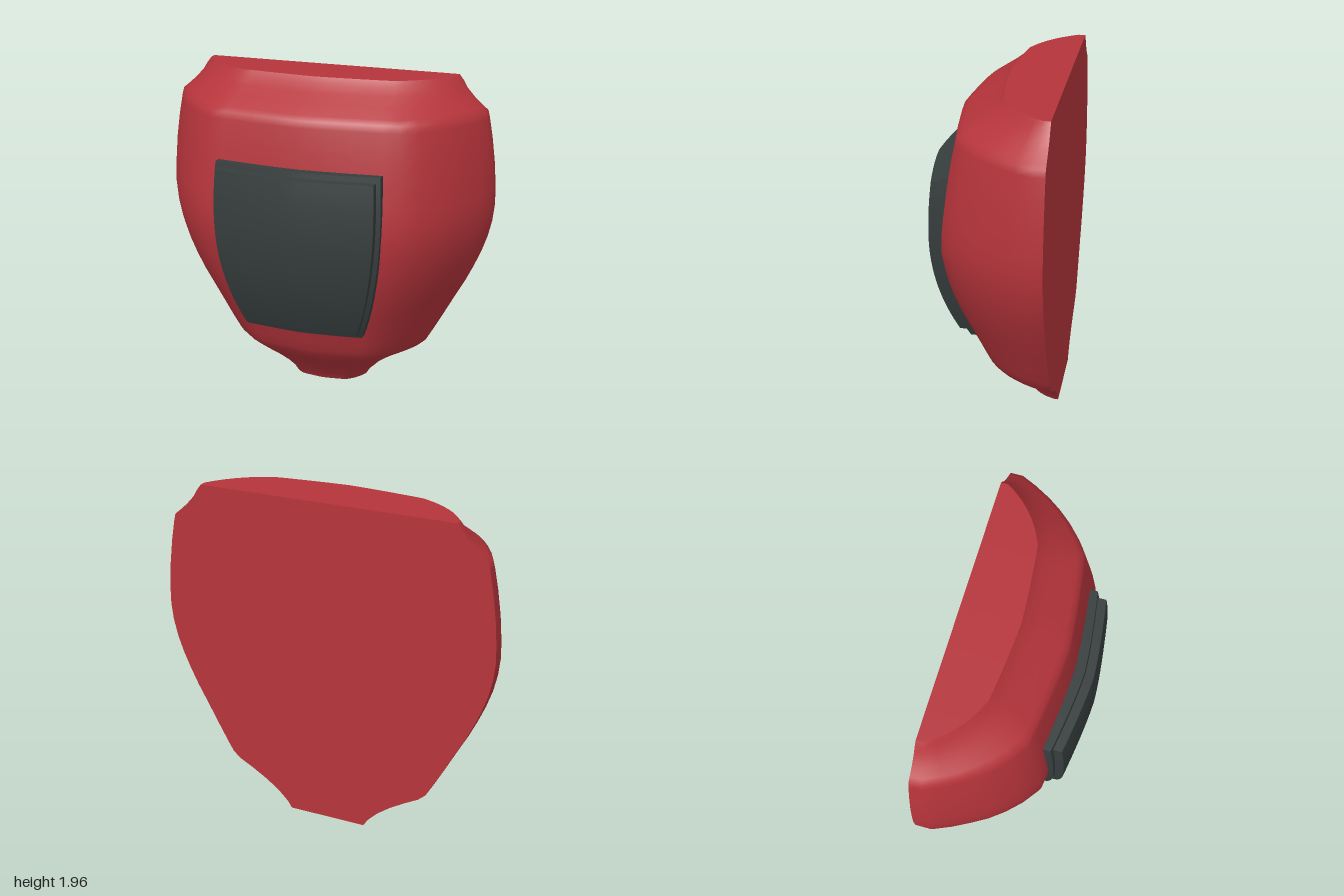
import * as THREE from 'three';

const BACK = -0.385;

// Height, half width and front depth of the shell, bottom to top
const rows = [
  [0, 0.235, -0.22], [0.04, 0.26, -0.198], [0.1, 0.32, -0.145], [0.16, 0.4, -0.085],
  [0.22, 0.5, -0.02], [0.26, 0.575, 0.015], [0.3, 0.62, 0.04], [0.36, 0.655, 0.065],
  [0.46, 0.71, 0.103], [0.6, 0.785, 0.16], [0.7, 0.84, 0.197], [0.8, 0.888, 0.228],
  [0.9, 0.931, 0.25], [1.0, 0.965, 0.266], [1.1, 0.988, 0.276], [1.2, 0.999, 0.277],
  [1.3, 0.998, 0.271], [1.45, 0.987, 0.257], [1.6, 0.967, 0.238], [1.72, 0.945, 0.217],
  [1.76, 0.935, 0.207], [1.785, 0.905, 0.175], [1.83, 0.855, 0.11], [1.88, 0.81, 0.035],
  [1.92, 0.787, -0.02], [1.955, 0.76, -0.05],
];

// Half of the cross-section as fractions of width and depth, side to middle
const half = [[1, 0], [1, 0.125], [0.955, 0.28], [0.9, 0.435], [0.845, 0.575],
  [0.78, 0.7], [0.7, 0.82], [0.6, 0.93], [0.5, 0.953], [0.3, 0.98], [0.15, 0.994]];
const section = [...half.map(([u, v]) => [-u, v]), [0, 1], ...half.slice().reverse()];

// Surface through rows of points
function loft(rings) {
  const n = rings[0].length, index = [];
  for (let r = 0; r < rings.length - 1; r++) {
    for (let i = 0; i < n - 1; i++) {
      const a = r * n + i, c = a + n;
      index.push(a, a + 1, c + 1, a, c + 1, c);
    }
  }
  const g = new THREE.BufferGeometry();
  g.setAttribute('position', new THREE.Float32BufferAttribute(rings.flat(2), 3));
  g.setIndex(index);
  g.computeVertexNormals();
  return g;
}

// Cross-section ring; the front corners fall back a little more near the ends
function ring([y, w, f]) {
  const ends = Math.min(1, Math.abs(y - 1.1) / 0.8);
  return section.map(([u, v]) => {
    const depth = v - 0.06 * ends * v * Math.min(1, Math.abs(u) / 0.6) * (v > 0.5 ? 1 : 0.5);
    return [u * w, y, BACK + depth * (f - BACK)];
  });
}

// Curved panel: a box bent to follow the shell
function panel(y0, y1, inset, lift, thick) {
  const g = new THREE.BoxGeometry(2, 1, 1, 16, 20, 1);
  const p = g.attributes.position;
  for (let i = 0; i < p.count; i++) {
    const y = y0 + (p.getY(i) + 0.5) * (y1 - y0);
    const w = 0.5 - (y < 1.22 ? 0.254 : 0.14) * (y - 1.22) ** 2 - inset;
    const x = p.getX(i) * w;
    const surface = 0.28 - (y < 1.14 ? 0.39 : 0.2) * (y - 1.14) ** 2;
    const dip = 0.055 * Math.pow(Math.abs(x) / 0.48, 1.4);
    p.setXYZ(i, x, y, surface - dip + lift + (p.getZ(i) - 0.5) * thick);
  }
  g.computeVertexNormals();
  return g;
}

export function createModel() {
  const model = new THREE.Group();
  const red = new THREE.MeshStandardMaterial({ color: 0xb5343b });
  red.name = 'red';
  const dark = new THREE.MeshStandardMaterial({ color: 0x363d3d });
  dark.name = 'dark grey';

  const add = (name, geometry, material) => {
    const mesh = new THREE.Mesh(geometry, material);
    mesh.name = name;
    model.add(mesh);
  };

  // Shell with flat back, top and bottom
  const rings = rows.map(ring);
  const flatten = (r) => r.map(([x, y]) => [x, y, BACK]);
  const bottom = rings[0], top = rings[rings.length - 1];
  add('shell', loft(rings), red);
  add('shellBack', loft(rows.map(([y, w]) => [[w, y, BACK], [-w, y, BACK]])), red);
  add('shellTop', loft([top, flatten(top)]), red);
  add('shellBottom', loft([flatten(bottom), bottom]), red);

  // Two-layer front panel
  add('panelFrame', panel(0.462, 1.492, 0, 0.052, 0.06), dark);
  add('panelPlate', panel(0.49, 1.46, 0.025, 0.102, 0.065), dark);

  return model;
}
